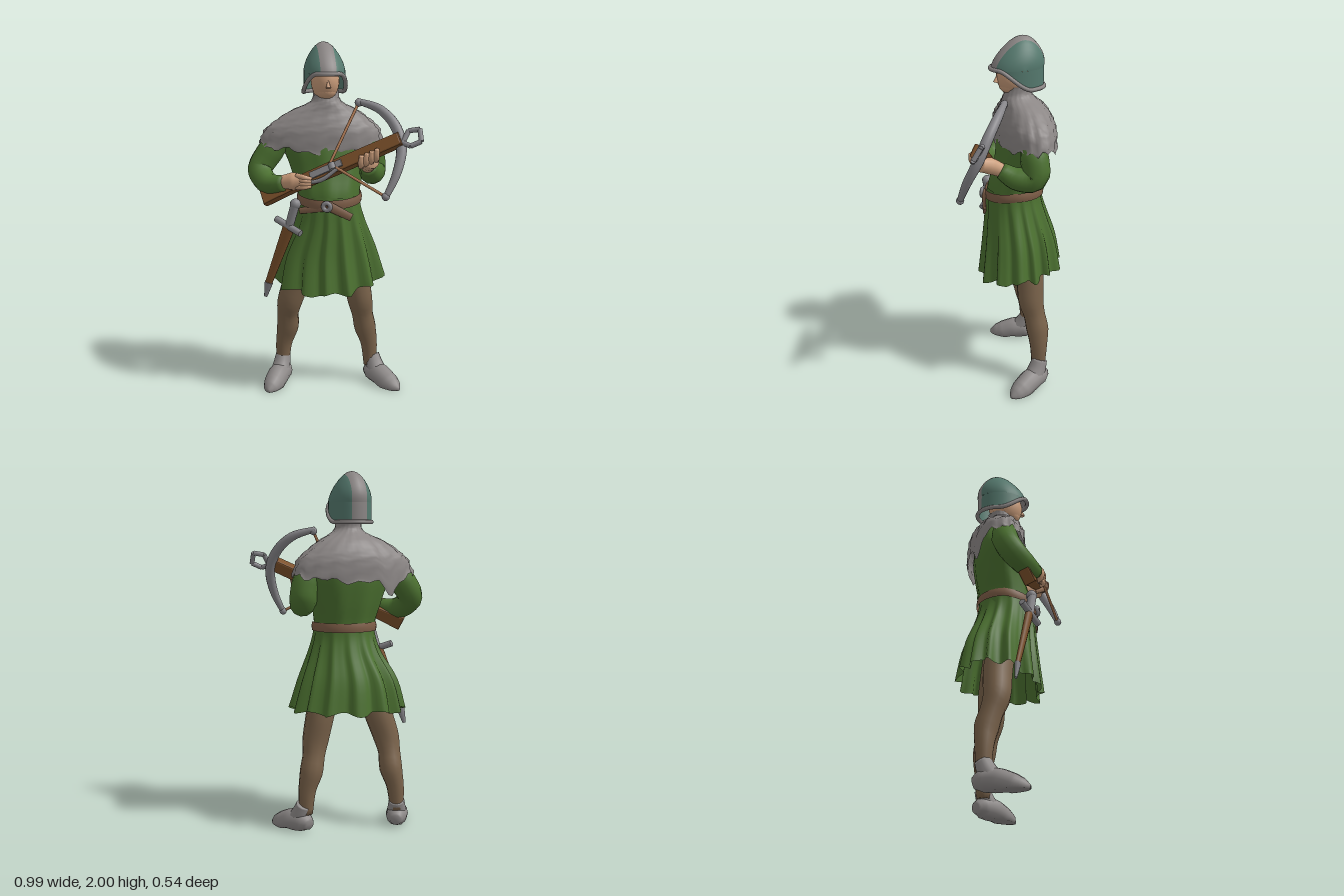
import * as THREE from 'three';

const mat = (name, color, side = THREE.FrontSide) => {
  const m = new THREE.MeshStandardMaterial({ color, side });
  m.name = name;
  return m;
};
const V = (p) => new THREE.Vector3(p[0], p[1], p[2]);

// Grid surface: fn(i, j) gives a point; pick(i, j) gives a material index
function sheet(nu, nv, closed, fn, pick) {
  const cols = closed ? nu : nu + 1, pos = [], sets = [[], []];
  for (let j = 0; j <= nv; j++) for (let i = 0; i < cols; i++) pos.push(...fn(i, j));
  for (let j = 0; j < nv; j++) for (let i = 0; i < nu; i++) {
    const a = j * cols + i, b = j * cols + ((i + 1) % cols), c = a + cols, d = b + cols;
    sets[pick ? pick(i, j) : 0].push(a, b, c, b, d, c);
  }
  const g = new THREE.BufferGeometry();
  g.setAttribute('position', new THREE.Float32BufferAttribute(pos, 3));
  g.setIndex([...sets[0], ...sets[1]]);
  if (pick) {
    g.addGroup(0, sets[0].length, 0);
    g.addGroup(sets[0].length, sets[1].length, 1);
  }
  g.computeVertexNormals();
  return g;
}

// Body shell through elliptical rings [y, cx, cz, rx, rz, yaw], listed bottom to top
function loft(rings, n, rule, sub = 4) {
  const rows = (rings.length - 1) * sub, last = rings.length - 1;
  return sheet(n, rows, true, (i, j) => {
    const k = Math.min(Math.floor(j / sub), last - 1), t = j / sub - k;
    const at = (q) => rings[Math.max(0, Math.min(last, q))];
    const [y, cx, cz, rx, rz, yaw] = rings[0].map((_, c) => {
      const p0 = at(k - 1)[c], p1 = at(k)[c], p2 = at(k + 1)[c], p3 = at(k + 2)[c];
      return p1 + 0.5 * t * (p2 - p0 + t * (2 * p0 - 5 * p1 + 4 * p2 - p3 + t * (3 * (p1 - p2) + p3 - p0)));
    });
    const a = (i / n) * Math.PI * 2;
    const { s = 1, dy = 0 } = rule(a, j / rows, j);
    const x = Math.sin(a) * rx * s, z = Math.cos(a) * rz * s;
    return [cx + x * Math.cos(yaw) + z * Math.sin(yaw), y + dy, cz - x * Math.sin(yaw) + z * Math.cos(yaw)];
  });
}

// Round capped limb through points [x, y, z, radius]
function limb(pts, sides = 12, steps = pts.length * 4) {
  const curve = new THREE.CatmullRomCurve3(pts.map(V));
  const f = curve.computeFrenetFrames(steps, false);
  return sheet(sides, steps + 2, true, (i, j) => {
    const k = Math.max(0, Math.min(steps, j - 1)), q = curve.getUtoTmapping(k / steps) * (pts.length - 1);
    const m = Math.min(Math.floor(q), pts.length - 2), a = (i / sides) * Math.PI * 2;
    const r = j === 0 || j === steps + 2 ? 0 : THREE.MathUtils.lerp(pts[m][3], pts[m + 1][3], q - m);
    const p = curve.getPointAt(k / steps)
      .addScaledVector(f.normals[k], r * Math.cos(a)).addScaledVector(f.binormals[k], r * Math.sin(a));
    return [p.x, Math.max(0, p.y), p.z];
  });
}

export function createModel() {
  const root = new THREE.Group();
  const D = THREE.DoubleSide;
  const green = mat('green cloth', 0x4b7030, D), mail = mat('grey mail', 0x8b8685, D);
  const teal = mat('teal paint', 0x55796e, D), steel = mat('steel', 0x87868a);
  const hose = mat('brown hose', 0x79624a), skin = mat('skin', 0xc99c7a);
  const wood = mat('wood', 0x7c512b), leather = mat('leather', 0x7d5d47, D);
  const cord = mat('cord', 0xab7650), shoe = mat('grey shoe', 0x8d8988);

  const add = (name, geo, m, parent = root) => {
    const o = new THREE.Mesh(geo, m);
    o.name = name;
    parent.add(o);
    return o;
  };
  const rod = (name, a, b, r0, r1, m, flat = 1) => {
    const d = V(b).sub(V(a));
    const o = add(name, new THREE.CylinderGeometry(r1, r0, d.length(), 10), m);
    o.position.copy(V(a)).addScaledVector(d, 0.5);
    o.quaternion.setFromUnitVectors(new THREE.Vector3(0, 1, 0), d.normalize());
    o.scale.z = flat;
    return o;
  };

  // Legs with knees and calves
  add('rightLeg', limb([[-0.17, 0.9, 0, 0.085], [-0.25, 0.65, -0.005, 0.08], [-0.297, 0.51, 0, 0.074],
    [-0.315, 0.43, -0.02, 0.062], [-0.325, 0.34, -0.045, 0.066], [-0.35, 0.24, -0.05, 0.05], [-0.362, 0.1, -0.05, 0.038]]), hose);
  add('leftLeg', limb([[0.03, 0.9, -0.06, 0.085], [0.075, 0.65, -0.105, 0.08], [0.1, 0.51, -0.115, 0.074],
    [0.108, 0.43, -0.135, 0.062], [0.12, 0.34, -0.155, 0.066], [0.142, 0.24, -0.165, 0.05], [0.15, 0.1, -0.165, 0.038]]), hose);

  // Pointed shoes
  for (const [side, x, z, dx, dz] of [['right', -0.36, -0.055, -0.06, 1], ['left', 0.16, -0.175, 0.8, 0.6]]) {
    const at = (d, y, r) => [x + dx * d, y, z + dz * d, r];
    add(side + 'Shoe', limb([at(-0.045, 0.045, 0.03), at(0, 0.055, 0.058), at(0.08, 0.05, 0.064),
      at(0.16, 0.022, 0.06), at(0.21, 0.012, 0.042), at(0.24, 0.01, 0.012)]), shoe);
    add(side + 'ShoeCuff', limb([at(0.06, 0.05, 0.058), at(0.025, 0.1, 0.052), at(0, 0.155, 0.044)]), shoe);
  }

  // Pleated skirt with a hem that dips at the front
  add('skirt', loft([[0.685, -0.08, -0.03, 0.305, 0.224, 0.15], [0.85, -0.08, -0.025, 0.265, 0.202, 0.15],
    [1.0, -0.06, -0.01, 0.2, 0.173, 0.15], [1.09, -0.055, 0, 0.175, 0.158, 0.15], [1.16, -0.055, 0, 0.168, 0.15, 0.15]], 128,
  (a, t) => ({
    s: 1 + 0.09 * (1 - t) * Math.sin(a * 14 + 0.9 * Math.sin(a * 3) + 0.5 * Math.sin(a * 14)) + 0.02 * (1 - t) * Math.sin(a * 5),
    dy: (1 - t) ** 2 * (-0.07 * Math.max(0, Math.cos(a)) + 0.012 * Math.sin(a * 9)),
  })), green);

  // Tunic body and sleeves
  add('tunic', loft([[1.1, -0.055, 0, 0.168, 0.148, 0.15], [1.18, -0.06, -0.005, 0.172, 0.148, 0.2],
    [1.3, -0.075, -0.03, 0.2, 0.14, 0.3], [1.45, -0.09, -0.045, 0.23, 0.135, 0.39], [1.58, -0.09, -0.05, 0.16, 0.1, 0.39]], 40,
  (a, t) => ({ s: 1 + 0.025 * Math.sin(a * 9 + t * 4) })), green);
  add('rightSleeve', limb([[-0.3, 1.5, 0.04, 0.06], [-0.378, 1.4, 0.06, 0.076], [-0.428, 1.3, 0.1, 0.07],
    [-0.36, 1.235, 0.165, 0.062], [-0.25, 1.245, 0.205, 0.042]]), green);
  add('leftSleeve', limb([[0.09, 1.5, -0.1, 0.06], [0.145, 1.4, -0.13, 0.078], [0.165, 1.29, -0.135, 0.075],
    [0.175, 1.285, -0.04, 0.065], [0.175, 1.33, 0.045, 0.045]]), green);

  // Belt, hanging strap and buckle
  add('belt', loft([[1.125, -0.055, 0, 0.18, 0.165, 0.15], [1.15, -0.055, 0, 0.184, 0.167, 0.15],
    [1.175, -0.055, 0, 0.178, 0.163, 0.15]], 40, (a) => ({ dy: -0.025 * Math.max(0, Math.cos(a)) }), 2), leather);
  rod('beltTongue', [-0.02, 1.125, 0.168], [0.11, 1.06, 0.145], 0.028, 0.022, leather, 0.4);
  rod('beltStrap', [-0.02, 1.115, 0.168], [-0.19, 1.08, 0.13], 0.022, 0.018, leather, 0.4);
  const buckle = add('buckle', new THREE.TorusGeometry(0.02, 0.013, 8, 14), steel);
  buckle.position.set(-0.022, 1.12, 0.176);

  // Mail mantle and collar with a lumpy surface and ragged hem, longest behind the right arm
  add('mailMantle', loft([[1.405, -0.112, -0.05, 0.352, 0.155, 0.39], [1.5, -0.108, -0.05, 0.322, 0.157, 0.39],
    [1.56, -0.105, -0.05, 0.268, 0.146, 0.39], [1.62, -0.095, -0.045, 0.188, 0.12, 0.39],
    [1.665, -0.08, -0.025, 0.1, 0.09, 0.42], [1.695, -0.078, -0.018, 0.074, 0.074, 0.44], [1.735, -0.08, -0.024, 0.07, 0.074, 0.44]], 72,
  (a, t, j) => ({
    s: 1 + 0.035 * Math.sin(a * 13 + j * 1.9) * Math.sin(a * 7 - j * 2.3),
    dy: (1 - t) ** 4 * (0.035 * Math.sin(a) ** 2 + 0.01 * Math.sin(a * 17) + 0.008 * Math.sin(a * 8)
      - 0.08 * Math.exp(-(((a - 3.65) / 0.18) ** 2))),
  })), mail);

  // Head, turned toward the model's left
  const head = new THREE.Group();
  head.name = 'head';
  head.position.set(-0.085, 0, -0.015);
  head.rotation.y = 0.44;
  root.add(head);
  const face = add('face', new THREE.SphereGeometry(1, 24, 18), skin, head);
  face.scale.set(0.078, 0.11, 0.1);
  face.position.set(0, 1.79, 0.018);
  const jaw = add('jaw', new THREE.SphereGeometry(1, 18, 12), skin, head);
  jaw.scale.set(0.058, 0.05, 0.062);
  jaw.position.set(0, 1.738, 0.042);
  const nose = add('nose', new THREE.ConeGeometry(0.014, 0.055, 8), skin, head);
  nose.position.set(0, 1.782, 0.117);
  nose.rotation.x = -0.25;

  // Pointed helmet: crown, sides with face opening, and rim
  const RX = 0.114, RZ = 0.148, BASE = 1.83, TOP = 0.17, HALF = Math.sin(Math.PI / 8);
  const ws = [-1, -0.97, -0.9, -0.8, -0.68, -0.52, -HALF, -0.2, 0, 0.2, HALF, 0.52, 0.68, 0.8, 0.9, 0.97, 1];
  add('helmetCrown', sheet(16, 24, false, (i, j) => {
    const w = ws[i], c = Math.sqrt(1 - w * w), f = (j / 24) * Math.PI, s = c * Math.sin(f);
    return [RX * w, BASE + TOP * s * (0.78 + 0.22 * s ** 3), RZ * c * Math.cos(f) - 0.03 * s];
  }, (i) => (i >= 6 && i < 10 ? 1 : 0)), [teal, mail], head);
  const hem = (a) => {
    const d = Math.abs(Math.atan2(Math.sin(a), Math.cos(a)));
    return BASE - 0.105 * THREE.MathUtils.smoothstep(d, 0.55, 1.9);
  };
  add('helmetSides', sheet(32, 4, true, (i, j) => {
    const a = (i / 32) * Math.PI * 2, y = THREE.MathUtils.lerp(hem(a), BASE, j / 4);
    return [RX * Math.sin(a), y, RZ * Math.cos(a)];
  }, (i) => (i >= 14 && i < 18 ? 1 : 0)), [teal, mail], head);
  const rimPts = Array.from({ length: 40 }, (_, i) => {
    const a = (i / 40) * Math.PI * 2;
    return new THREE.Vector3(RX * 1.01 * Math.sin(a), hem(a), RZ * 1.01 * Math.cos(a));
  });
  add('helmetRim', new THREE.TubeGeometry(new THREE.CatmullRomCurve3(rimPts, true), 80, 0.012, 8, true), mail, head);

  // Crossbow stock, laid along its own axes
  const bow = new THREE.Group();
  bow.name = 'crossbowStock';
  const X = new THREE.Vector3(0.76, 0.35, -0.04).normalize();
  const Y = new THREE.Vector3(-0.12, 0.38, 0.97).cross(X).normalize();
  bow.quaternion.setFromRotationMatrix(new THREE.Matrix4().makeBasis(X, Y, X.clone().cross(Y)));
  bow.position.set(0, 1.325, 0.158);
  root.add(bow);
  const outline = [[-0.415, -0.034], [-0.25, -0.026], [0, -0.03], [0.405, -0.028], [0.405, 0.028], [0, 0.03], [-0.25, 0.026], [-0.415, 0.034]];
  const stock = new THREE.ExtrudeGeometry(new THREE.Shape(outline.map((p) => new THREE.Vector2(...p))),
    { depth: 0.044, bevelThickness: 0.01, bevelSize: 0.008, bevelSegments: 2 });
  add('stock', stock.translate(0, 0, -0.022), wood, bow);
  add('lockPlate', new THREE.BoxGeometry(0.19, 0.036, 0.02), steel, bow).position.set(-0.02, 0, 0.035);
  add('nut', new THREE.CylinderGeometry(0.02, 0.02, 0.036, 12), steel, bow).position.set(0.02, 0, 0.04);
  add('trigger', limb([[-0.14, 0.97, 0.035, 0.01], [-0.06, 0.955, 0.035, 0.013], [0.05, 0.98, 0.035, 0.01]], 8)
    .translate(0, -1, 0), steel, bow);

  // Bow arms, string and stirrup
  add('bowArms', limb([[0.11, 1.685, 0.03, 0.016], [0.24, 1.645, 0.05, 0.025], [0.335, 1.56, 0.09, 0.029],
    [0.378, 1.45, 0.135, 0.029], [0.365, 1.32, 0.2, 0.024], [0.318, 1.2, 0.248, 0.016]]), steel);
  const nut = [0.0, 1.36, 0.192];
  for (const tip of [[0.12, 1.675, 0.035], [0.318, 1.205, 0.245]]) {
    rod('bowString', tip, nut, 0.008, 0.008, cord);
    const knob = add('bowTip', new THREE.SphereGeometry(0.022, 10, 8), steel);
    knob.position.copy(V(tip));
  }
  const loop = [[0.385, 1.48, 0.14], [0.41, 1.54, 0.11], [0.47, 1.55, 0.11], [0.485, 1.49, 0.145], [0.43, 1.465, 0.155]];
  loop.forEach((p, i) => rod('stirrup', p, loop[(i + 1) % loop.length], 0.014, 0.014, steel));

  // Hands gripping the stock
  add('rightHand', limb([[-0.27, 1.25, 0.198, 0.036], [-0.2, 1.258, 0.2, 0.05], [-0.145, 1.262, 0.205, 0.034]]), skin);
  add('leftHand', limb([[0.172, 1.325, 0.03, 0.036], [0.195, 1.36, 0.1, 0.046], [0.225, 1.375, 0.15, 0.038]]), skin);
  for (let i = 0; i < 4; i++) {
    const x = 0.16 + i * 0.028, y = 1.355 + i * 0.013;
    add('leftFinger', limb([[x, y - 0.01, 0.14, 0.017], [x + 0.01, y + 0.01, 0.185, 0.017], [x + 0.015, y + 0.055, 0.192, 0.013]], 8), skin);
    add('rightFinger', limb([[-0.18, 1.29 - i * 0.02, 0.215, 0.017], [-0.13, 1.285 - i * 0.017, 0.23, 0.015],
      [-0.1, 1.275 - i * 0.013, 0.21, 0.011]], 8), skin);
  }

  // Sheathed sword at the right hip
  rod('scabbard', [-0.385, 0.64, 0.125], [-0.24, 1.0, 0.165], 0.021, 0.036, wood, 0.6);
  rod('scabbardTip', [-0.403, 0.565, 0.12], [-0.38, 0.652, 0.126], 0.01, 0.025, steel, 0.7);
  rod('swordGuard', [-0.325, 1.03, 0.14], [-0.165, 0.968, 0.2], 0.019, 0.019, steel);
  rod('swordGrip', [-0.24, 1.0, 0.167], [-0.203, 1.12, 0.175], 0.024, 0.026, steel);
  const pommel = add('pommel', new THREE.SphereGeometry(0.031, 12, 10), steel);
  pommel.position.set(-0.202, 1.125, 0.172);
  return root;
}
